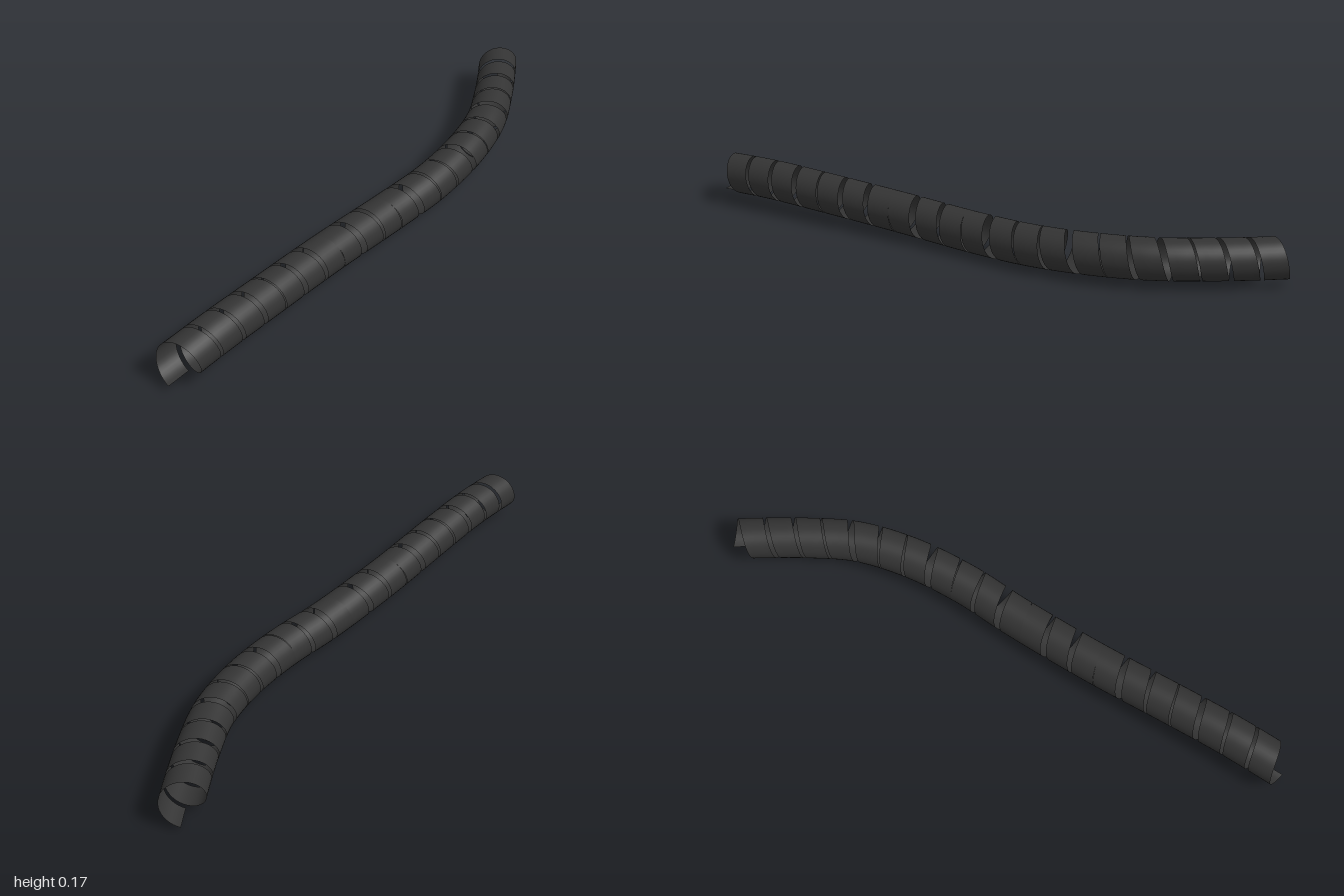
import * as THREE from 'three';

const RADIUS = 0.067, WIDTH = 0.08, TURNS = 21, SEGMENTS = 36, ACROSS = 3;

// Centre line that the spiral wrap follows
const path = new THREE.CatmullRomCurve3([
  [-1, 0.093, 0.147], [-0.8, 0.1, 0.14], [-0.6, 0.094, 0.128], [-0.3, 0.08, 0.108],
  [0, 0.069, 0.1], [0.2, 0.073, 0.099], [0.4, 0.081, 0.073], [0.58, 0.086, 0.018],
  [0.72, 0.086, -0.062], [0.84, 0.085, -0.143], [0.935, 0.085, -0.213],
].map((p) => new THREE.Vector3(...p)));
path.arcLengthDivisions = 600;

// Thin ribbon wound around the path: bottom, back, top, front, and on
function ribbonGeometry() {
  const length = path.getLength();
  const up = new THREE.Vector3(0, 1, 0);
  const positions = [], index = [];
  const steps = TURNS * SEGMENTS, row = ACROSS + 1;
  for (let i = 0; i <= steps; i++) {
    const t = i / steps;
    const angle = t * TURNS * Math.PI * 2;
    // slightly uneven winding, so the gaps open and close
    const uneven = 0.008 * Math.sin(t * 47) * Math.sin(Math.PI * t);
    const start = t * (length - WIDTH) + uneven;
    for (let j = 0; j <= ACROSS; j++) {
      const u = THREE.MathUtils.clamp((start + WIDTH * j / ACROSS) / length, 0, 1);
      const tangent = path.getTangentAt(u);
      const front = tangent.clone().cross(up).normalize();
      const top = front.clone().cross(tangent).normalize();
      const p = path.getPointAt(u)
        .addScaledVector(top, -RADIUS * Math.cos(angle))
        .addScaledVector(front, -RADIUS * Math.sin(angle));
      positions.push(p.x, p.y, p.z);
      if (i < steps && j < ACROSS) {
        const a = i * row + j, b = a + row;
        index.push(a, b, a + 1, b, b + 1, a + 1);
      }
    }
  }
  const geometry = new THREE.BufferGeometry();
  geometry.setAttribute('position', new THREE.Float32BufferAttribute(positions, 3));
  geometry.setIndex(index);
  geometry.computeVertexNormals();
  return geometry;
}

export function createModel() {
  const group = new THREE.Group();
  group.name = 'spiralCableWrap';
  const material = new THREE.MeshStandardMaterial({ color: 0x333333, side: THREE.DoubleSide });
  const ribbon = new THREE.Mesh(ribbonGeometry(), material);
  ribbon.name = 'spiralRibbon';
  group.add(ribbon);
  return group;
}
